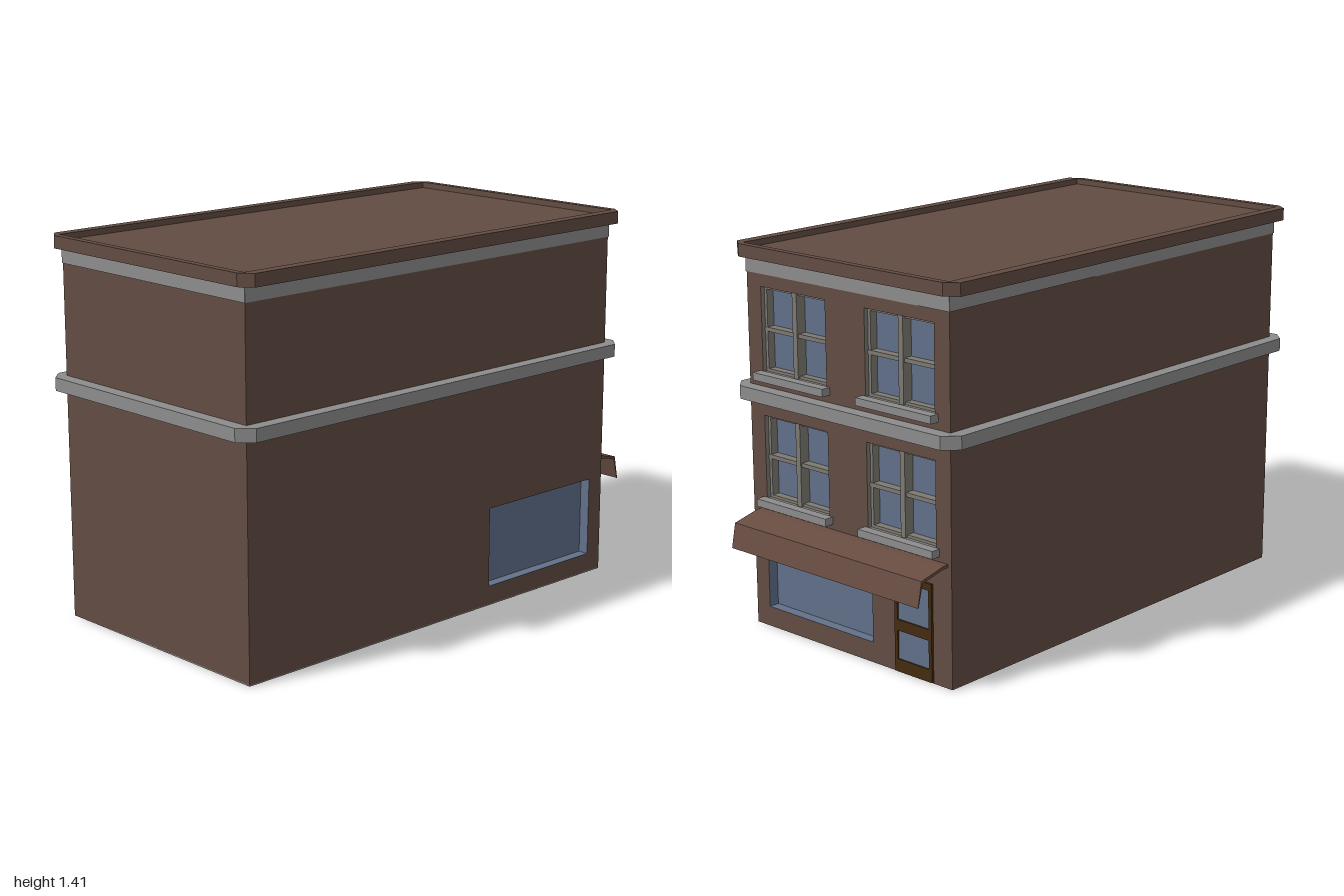
import * as THREE from 'three';

const mat = (name, color) => {
  const m = new THREE.MeshStandardMaterial({ color, side: THREE.DoubleSide });
  m.name = name;
  return m;
};

// Body extents
const X0 = -0.95, X1 = 0.855, Z = 0.487, TOP = 1.38;
const CX = (X0 + X1) / 2, LEN = X1 - X0;

export function createModel() {
  const brick = mat('brick brown', 0x624c42);
  const stone = mat('stone grey', 0x8c8c8c);
  const frame = mat('window frame grey', 0x7d7972);
  const glass = mat('glass blue', 0x61708a);
  const wood = mat('door wood', 0x442c10);
  const canvas = mat('awning brown', 0x684c41);

  const model = new THREE.Group();
  const add = (parent, name, geo, material, x = 0, y = 0, z = 0) => {
    const m = new THREE.Mesh(geo, material);
    m.name = name;
    m.position.set(x, y, z);
    parent.add(m);
    return m;
  };
  const box = (parent, name, material, w, h, d, x, y, z) =>
    add(parent, name, new THREE.BoxGeometry(w, h, d), material, x, y, z);
  const rect = (C, x0, x1, y0, y1) => {
    const p = new C();
    p.moveTo(x0, y0); p.lineTo(x1, y0); p.lineTo(x1, y1); p.lineTo(x0, y1);
    p.closePath();
    return p;
  };

  // A wall panel facing local +z, with rectangular openings [x0, x1, y0, y1]
  const wall = (name, width, x, z, angle, holes = []) => {
    const g = new THREE.Group();
    g.name = name;
    g.position.set(x, 0, z);
    g.rotation.y = angle;
    model.add(g);
    const s = rect(THREE.Shape, -width / 2, width / 2, 0, TOP);
    holes.forEach(h => s.holes.push(rect(THREE.Path, ...h)));
    add(g, name + 'Surface', new THREE.ShapeGeometry(s), brick);
    return g;
  };

  // Open-fronted pocket behind an opening: reveal sides plus glass back
  const recess = (parent, name, [x0, x1, y0, y1], depth, reveal) => {
    const geo = new THREE.BoxGeometry(x1 - x0, y1 - y0, depth);
    const idx = Array.from(geo.index.array);
    geo.setIndex([...idx.slice(0, 24), ...idx.slice(30)]);
    geo.clearGroups();
    geo.addGroup(0, 24, 0);
    geo.addGroup(24, 6, 1);
    add(parent, name, geo, [reveal, glass], (x0 + x1) / 2, (y0 + y1) / 2, -depth / 2);
  };

  // Four walls; the shop front faces +x, its local x runs towards -z
  const upper = [];
  for (const y of [0.49, 0.957])
    for (const s of [-1, 1]) upper.push([s * 0.256 - 0.161, s * 0.256 + 0.161, y, y + 0.307]);
  const shopWindow = [-0.42, 0.11, 0.075, 0.375];
  const sideWindow = [0.225 - CX, 0.785 - CX, 0.075, 0.375];
  const shop = wall('shopFront', 2 * Z, X1, 0, Math.PI / 2, [...upper, shopWindow]);
  const side = wall('sideWall', LEN, CX, Z, 0, [sideWindow]);
  wall('backWall', 2 * Z, X0, 0, -Math.PI / 2);
  wall('plainWall', LEN, CX, -Z, Math.PI);
  recess(shop, 'shopWindow', shopWindow, 0.04, glass);
  recess(side, 'sideWindow', sideWindow, 0.04, glass);

  // Upper windows with frame, glazing bars and sill
  for (const w of upper) {
    const [x0, x1, y0, y1] = w, cx = (x0 + x1) / 2, cy = (y0 + y1) / 2;
    recess(shop, 'upperWindow', w, 0.05, frame);
    for (const x of [x0 + 0.006, x1 - 0.006])
      box(shop, 'windowJamb', frame, 0.012, y1 - y0, 0.03, x, cy, -0.032);
    for (const y of [y0 + 0.005, y1 - 0.005])
      box(shop, 'windowRail', frame, x1 - x0, 0.01, 0.03, cx, y, -0.032);
    box(shop, 'mullion', frame, 0.022, y1 - y0, 0.04, cx, cy, -0.028);
    box(shop, 'transom', frame, x1 - x0, 0.015, 0.034, cx, cy, -0.031);
    box(shop, 'sill', stone, 0.353, 0.028, 0.037, cx, y0 - 0.012, 0.0175);
  }

  // Door with two glazed panels
  const leaf = rect(THREE.Shape, 0.225, 0.4, 0.004, 0.36);
  for (const [a, b] of [[0.05, 0.155], [0.195, 0.335]])
    leaf.holes.push(rect(THREE.Path, 0.239, 0.386, a, b));
  add(shop, 'doorFrame', new THREE.ExtrudeGeometry(leaf, { depth: 0.009, bevelEnabled: false }), wood);
  box(shop, 'doorGlass', glass, 0.15, 0.3, 0.002, 0.3125, 0.195, 0.002);

  // Awning: thin sloping sheet with a hanging valance, open at the ends
  const awn = new THREE.Shape([[0, 0.446], [0.025, 0.444], [0.127, 0.42], [0.145, 0.33],
    [0.142, 0.33], [0.121, 0.411], [0.024, 0.433], [0, 0.435]].map(p => new THREE.Vector2(...p)));
  add(model, 'awning', new THREE.ExtrudeGeometry(awn, { depth: 0.92, bevelEnabled: false }),
    canvas, X1, 0, -0.47);

  // Bands around the building: rectangle grown by (ox, oz) with cut corners
  const band = (name, material, y0, y1, ox, oz, cut, inner) => {
    const hx = LEN / 2 + ox, hz = Z + oz, [cx, cz] = cut;
    const pts = [[hx - cx, -hz], [hx, -hz + cz], [hx, hz - cz], [hx - cx, hz],
      [-hx + cx, hz], [-hx, hz - cz], [-hx, -hz + cz], [-hx + cx, -hz]];
    const s = new THREE.Shape(pts.map(p => new THREE.Vector2(...p)));
    const ix = LEN / 2 + inner, iz = Z + inner;
    s.holes.push(rect(THREE.Path, -ix, ix, -iz, iz));
    const geo = new THREE.ExtrudeGeometry(s, { depth: y1 - y0, bevelEnabled: false });
    geo.rotateX(-Math.PI / 2);
    add(model, name, geo, material, CX, y0, 0);
  };
  band('beltCourse', stone, 0.856, 0.904, 0.05, 0.05, [0.05, 0.05], -0.001);
  band('frieze', stone, 1.31, 1.366, 0.003, 0.003, [0.001, 0.001], -0.001);
  band('cornice', brick, 1.366, 1.412, 0.034, 0.048, [0.036, 0.046], 0.006);

  // Roof sunk behind the cornice rim, and underside
  box(model, 'roof', brick, LEN + 0.014, 0.012, 2 * Z + 0.014, CX, 1.384, 0);
  box(model, 'base', stone, LEN, 0.004, 2 * Z, CX, 0.002, 0);
  return model;
}
